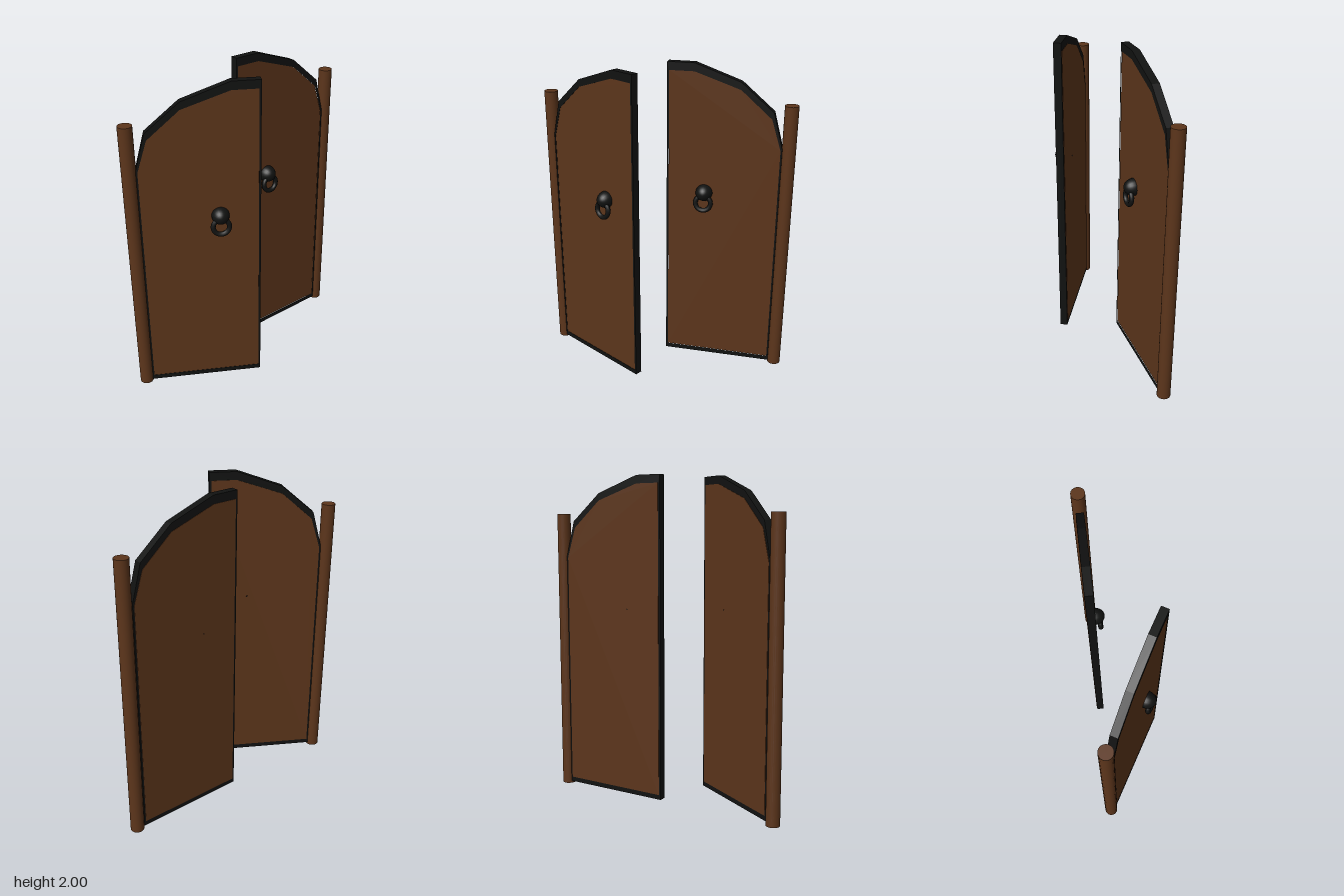
import * as THREE from 'three';

const wood = new THREE.MeshStandardMaterial({ color: 0x5c351b });
const iron = new THREE.MeshStandardMaterial({ color: 0x111211 });

// Leaf outlines: distance from hinge axis, height
const outer = [[0.038, 0.015], [0.742, 0.015], [0.742, 2], [0.577, 2], [0.297, 1.9], [0.098, 1.73], [0.038, 1.51]];
const inner = [[0.048, 0.045], [0.73, 0.045], [0.73, 1.95], [0.577, 1.95], [0.297, 1.855], [0.108, 1.69], [0.048, 1.5]];

function add(parent, name, geometry, material, x = 0, y = 0, z = 0) {
  const mesh = new THREE.Mesh(geometry, material);
  mesh.name = name;
  mesh.position.set(x, y, z);
  parent.add(mesh);
  return mesh;
}

// dir = +1: leaf runs toward +x from its hinge; -1: toward -x
function makeGate(name, dir) {
  const gate = new THREE.Group();
  gate.name = name;
  const points = (list) => list.map(([d, y]) => new THREE.Vector2(d * dir, y));

  // Hinge post
  add(gate, 'post', new THREE.CylinderGeometry(0.042, 0.042, 1.775, 24), wood, 0, 0.8875, 0);

  // Iron rim around the leaf
  const rim = new THREE.Shape(points(outer));
  rim.holes.push(new THREE.Path(points(inner)));
  add(gate, 'rim', new THREE.ExtrudeGeometry(rim, { depth: 0.047, bevelEnabled: false }), iron, 0, 0, -0.0235);

  // Wooden panel, set slightly back in the rim
  const panel = new THREE.ExtrudeGeometry(new THREE.Shape(points(inner)), { depth: 0.047, bevelEnabled: false });
  add(gate, 'panel', panel, wood, 0, 0, -0.0255);

  // Ring knocker: domed boss, hanging ring and bolt tip at the back
  const knocker = new THREE.Group();
  knocker.name = 'knocker';
  knocker.position.set(0.503 * dir, 1.193, 0.0215);
  const dome = new THREE.SphereGeometry(0.053, 20, 8, 0, Math.PI * 2, 0, Math.PI / 2);
  dome.rotateX(Math.PI / 2).scale(1, 1, 1.2);
  add(knocker, 'boss', dome, iron);
  const ring = add(knocker, 'ring', new THREE.TorusGeometry(0.048, 0.015, 10, 24), iron, 0, -0.06, 0.032);
  ring.rotation.x = -0.08;
  const bolt = new THREE.CylinderGeometry(0.004, 0.004, 0.05, 8).rotateX(Math.PI / 2);
  add(knocker, 'boltTip', bolt, iron, 0, 0, -0.024);
  gate.add(knocker);
  return gate;
}

export function createModel() {
  const model = new THREE.Group();
  model.name = 'doubleGate';

  // Closed leaf
  const closed = makeGate('leftGate', -1);
  closed.position.set(0.742, 0, -0.177);

  // Leaf swung open by 30 degrees
  const open = makeGate('rightGate', 1);
  open.position.set(-0.747, 0, -0.177);
  open.rotation.y = -Math.PI / 6;

  model.add(closed, open);
  return model;
}
